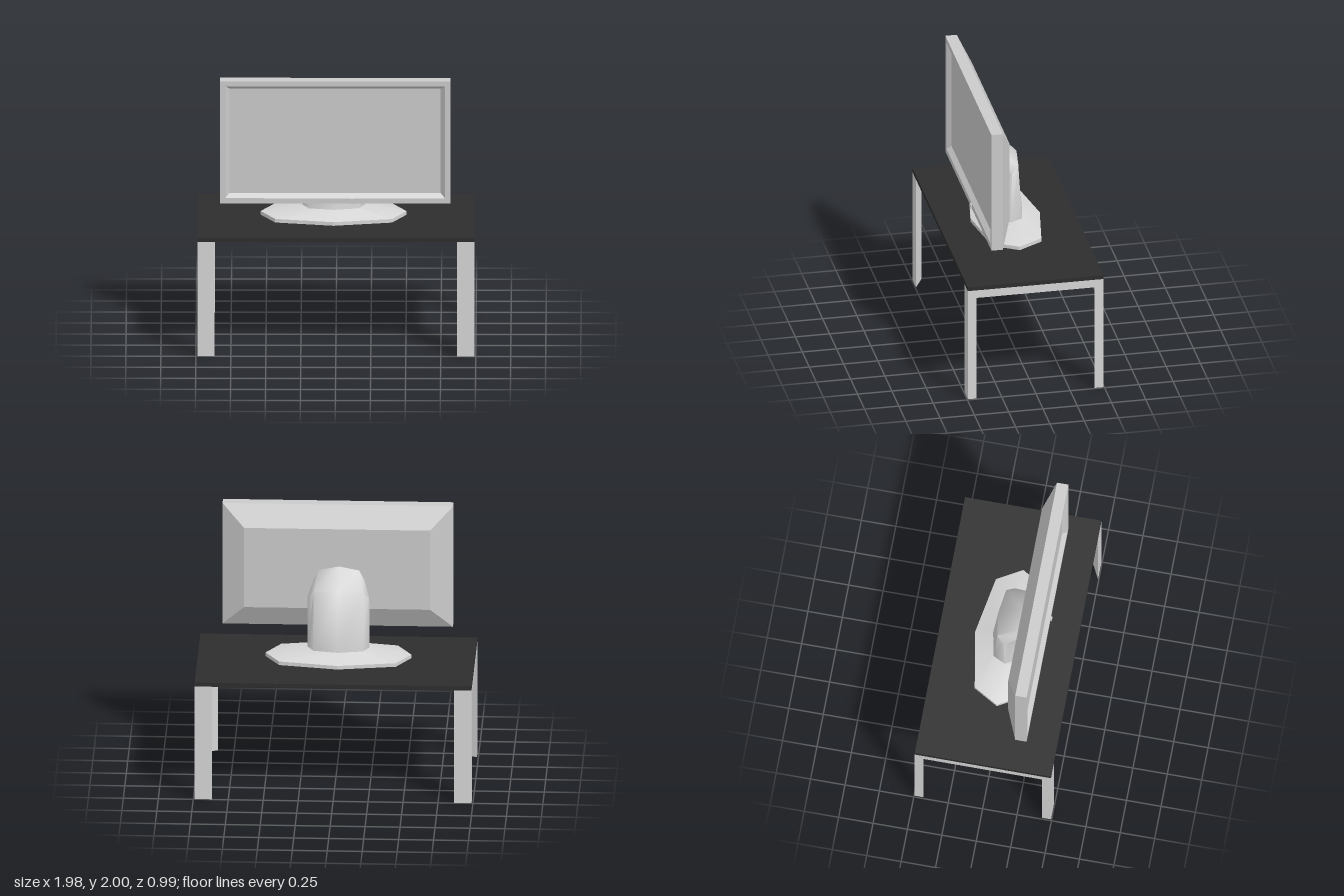
import * as THREE from 'three';
import { toCreasedNormals } from 'three/addons/utils/BufferGeometryUtils.js';

const material = (name, color) => {
  const m = new THREE.MeshStandardMaterial({ color });
  m.name = name;
  return m;
};

// Skins a list of equal-length rings of [x, y, z] points, with optional end caps.
function loft(rings, { capStart = true, capEnd = true, crease = 0.3 } = {}) {
  const n = rings[0].length;
  const pos = rings.flat();
  const index = [];
  for (let i = 0; i < rings.length - 1; i++) {
    for (let k = 0; k < n; k++) {
      const a = i * n + k, b = i * n + (k + 1) % n;
      index.push(a, a + n, b, b, a + n, b + n);
    }
  }
  const last = (rings.length - 1) * n;
  for (let k = 1; k < n - 1; k++) {
    if (capStart) index.push(0, k, k + 1);
    if (capEnd) index.push(last, last + k + 1, last + k);
  }
  const geo = new THREE.BufferGeometry();
  geo.setAttribute('position', new THREE.Float32BufferAttribute(pos.flat(), 3));
  geo.setIndex(index);
  geo.computeVertexNormals();
  return toCreasedNormals(geo, crease);
}

// Eight-sided ring, half-width w, spanning from a front point to a back point [y, z].
const OCTAGON = [[1, 0], [0.8, 0.71], [0, 1], [-0.8, 0.71], [-1, 0], [-0.8, -0.71], [0, -1], [0.8, -0.71]];
const octagonRing = (w, front, back) => OCTAGON.map(([u, v]) => {
  const t = (1 - v) / 2;
  return [-0.017 + u * w, front[0] + (back[0] - front[0]) * t, front[1] + (back[1] - front[1]) * t];
});

// Upright rectangular ring at depth z.
const rectRing = (x0, x1, y0, y1, z) => [[x1, y0, z], [x1, y1, z], [x0, y1, z], [x0, y0, z]];

export function createModel() {
  const model = new THREE.Group();
  const black = material('black top', 0x2d2d2d);
  const silver = material('silver', 0xd6d6d6);
  const grey = material('monitor grey', 0xcbcbcb);

  const add = (name, geo, mat, x = 0, y = 0, z = 0) => {
    const mesh = new THREE.Mesh(geo, mat);
    mesh.name = name;
    mesh.position.set(x, y, z);
    model.add(mesh);
    return mesh;
  };

  // Table top and the rail under it
  add('tableTop', new THREE.BoxGeometry(1.98, 0.03, 0.99), black, 0, 0.875, 0);
  add('centreRail', new THREE.BoxGeometry(1.78, 0.06, 0.065), silver, 0, 0.83, 0);

  // Mitred end frames of triangular section: leg, cross beam, leg
  const frameRing = (yOut, zOut, yIn, zIn) => [[0.99, yOut, zOut], [0.865, yOut, zOut], [0.99, yIn, zIn]];
  const frame = loft([
    frameRing(0, 0.495, 0, 0.43),
    frameRing(0.86, 0.495, 0.8, 0.43),
    frameRing(0.86, -0.495, 0.8, -0.43),
    frameRing(0, -0.495, 0, -0.43),
  ]);
  add('leftLegFrame', frame, silver);
  add('rightLegFrame', frame, silver).rotation.y = Math.PI;

  // Stand foot: a rim with a sloping upper side
  add('standFoot', loft([
    octagonRing(0.522, [0.907, 0.27], [0.907, -0.235]),
    octagonRing(0.522, [0.934, 0.27], [0.934, -0.235]),
    octagonRing(0.225, [0.985, 0.145], [0.985, -0.105]),
  ]), silver);

  // Stand neck: rises, then bends forward to the monitor
  add('standNeck', loft([
    octagonRing(0.223, [0.98, 0.145], [0.98, -0.105]),
    octagonRing(0.22, [1.29, 0.09], [1.44, -0.065]),
    octagonRing(0.18, [1.36, 0.128], [1.56, 0.12]),
  ], { crease: 1.1 }), silver);

  // Monitor housing: recessed bezel, frame and tapered back
  add('monitorHousing', loft([
    rectRing(-0.762, 0.748, 1.15, 1.935, 0.255),
    rectRing(-0.79, 0.78, 1.12, 1.963, 0.288),
    rectRing(-0.828, 0.82, 1.08, 2, 0.288),
    rectRing(-0.828, 0.82, 1.08, 2, 0.205),
    rectRing(-0.668, 0.663, 1.237, 1.842, 0.125),
  ], { capStart: false }), grey);
  add('screen', new THREE.PlaneGeometry(1.51, 0.785), grey, -0.007, 1.5425, 0.255);
  add('powerButton', new THREE.BoxGeometry(0.022, 0.036, 0.012), grey, 0.116, 1.099, 0.293);

  return model;
}
